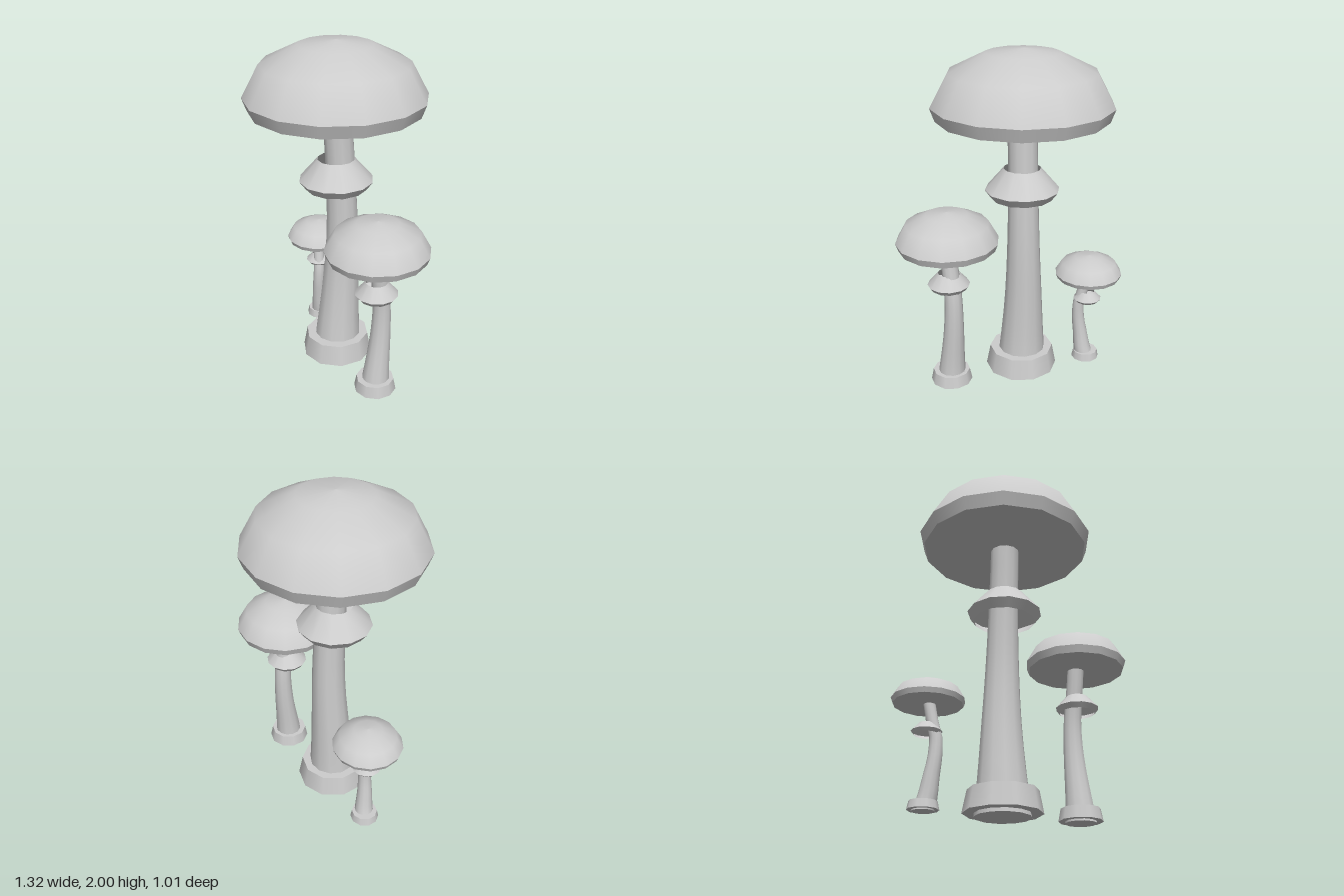
import * as THREE from 'three';
import { mergeVertices } from 'three/addons/utils/BufferGeometryUtils.js';

const grey = new THREE.MeshStandardMaterial({ color: 0xcccccc, side: THREE.DoubleSide });
grey.name = 'plain grey';

// Turns each [radius, height] profile; separate profiles keep a sharp edge between them
function turned(name, sides, profiles) {
  const group = new THREE.Group();
  group.name = name;
  for (const profile of profiles) {
    const points = profile.map(([r, y]) => new THREE.Vector2(r, y));
    const mesh = new THREE.Mesh(new THREE.LatheGeometry(points, sides, Math.PI / 2), grey);
    mesh.name = name + 'Surface';
    group.add(mesh);
  }
  return group;
}

// Tapering stem whose cross-sections follow a gently bent curve
function bentStem(bend) {
  const curve = new THREE.CatmullRomCurve3(bend.map(p => new THREE.Vector3(...p)));
  const rings = 12;
  const centres = curve.getSpacedPoints(rings);
  const profile = centres.map((p, i) =>
    new THREE.Vector2(0.085 + 0.07 * Math.pow(1 - p.y / 1.66, 2.5), i));
  let geometry = new THREE.LatheGeometry(profile, 12, Math.PI / 2);
  const pos = geometry.attributes.position;
  for (let i = 0; i < pos.count; i++) {
    const c = centres[Math.round(pos.getY(i))];
    pos.setXYZ(i, pos.getX(i) + c.x, c.y, pos.getZ(i) + c.z);
  }
  geometry.deleteAttribute('uv');
  geometry.deleteAttribute('normal');
  geometry = mergeVertices(geometry);
  geometry.computeVertexNormals();
  const stem = new THREE.Mesh(geometry, grey);
  stem.name = 'stem';
  return stem;
}

function mushroom(name, x, z, width, height, bend) {
  const group = new THREE.Group();
  group.name = name;
  group.add(
    // cap: underside, rim and dome
    turned('cap', 14, [
      [[0, 1.615], [0.49, 1.615]],
      [[0.49, 1.615], [0.5175, 1.69]],
      [[0.5175, 1.69], [0.418, 1.873], [0.209, 1.975], [0, 2]],
    ]),
    // skirt: open shell around the stem
    turned('skirt', 12, [
      [[0.18, 1.143], [0.217, 1.193]],
      [[0.217, 1.193], [0.108, 1.32]],
    ]),
    // foot: underside, wall and top
    turned('foot', 10, [
      [[0, 0.02], [0.217, 0.02]],
      [[0.217, 0.02], [0.193, 0.145]],
      [[0.193, 0.145], [0, 0.145]],
    ]),
    bentStem(bend),
    turned('stemEnd', 12, [[[0, 0], [0.155, 0]]]),
  );
  group.scale.set(width, height, width);
  group.position.set(x, 0.02 * (1 - height), z);
  return group;
}

export function createModel() {
  const model = new THREE.Group();
  model.name = 'mushrooms';
  model.add(
    mushroom('largeMushroom', -0.087, 0, 1, 1, [
      [0, 0, 0], [0, 0.15, -0.005], [0.006, 0.5, -0.025], [0.014, 0.85, -0.034],
      [0.01, 1.3, -0.021], [0.003, 1.64, -0.002],
    ]),
    mushroom('mediumMushroom', 0.362, 0.113, 0.572, 0.556, [
      [0, 0, 0], [0, 0.16, -0.012], [0, 0.7, -0.07], [0, 1.06, -0.075],
      [0, 1.32, -0.04], [0, 1.64, 0],
    ]),
    mushroom('smallMushroom', -0.46, -0.188, 0.393, 0.359, [
      [0, 0, 0], [0.033, 0.16, 0.03], [0.06, 0.52, 0.075], [0.087, 0.8, 0.1],
      [0.09, 1.13, 0.09], [0.055, 1.3, 0.06], [0.012, 1.64, 0.015],
    ]),
  );
  return model;
}
